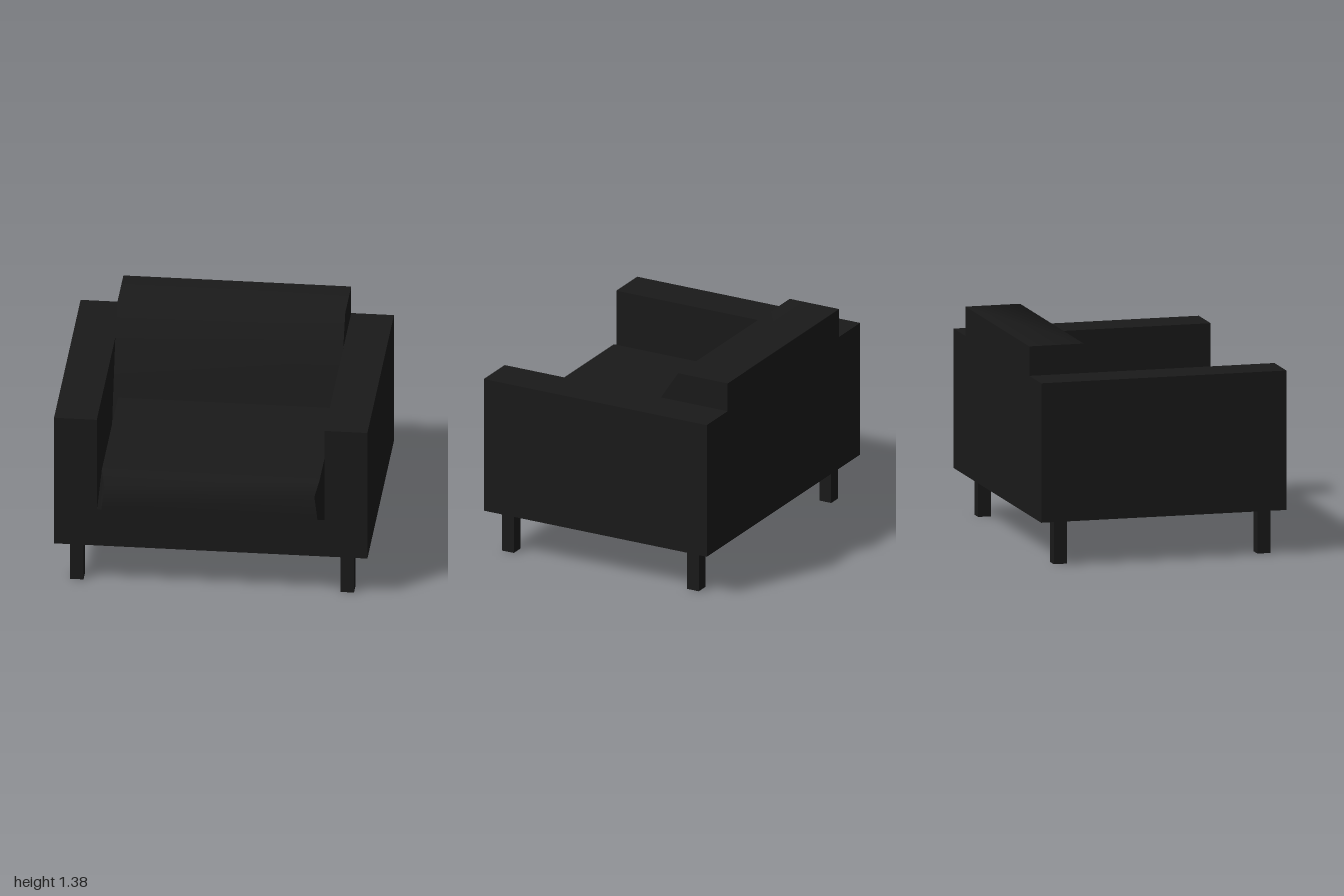
import * as THREE from 'three';
import { toCreasedNormals } from 'three/addons/utils/BufferGeometryUtils.js';

const CREASE = 1.05;

// Closed polygon extruded by depth
function extrude(points, depth) {
  const shape = new THREE.Shape(points.map(([x, y]) => new THREE.Vector2(x, y)));
  return new THREE.ExtrudeGeometry(shape, { depth, bevelEnabled: false });
}

// Four-sided sections joined along z: [z, yBottom, yTop, halfBottom, halfTop]
function loft(sections) {
  const pos = [], index = [];
  for (const [z, yb, yt, wb, wt] of sections) {
    pos.push(-wb, yb, z, wb, yb, z, wt, yt, z, -wt, yt, z);
  }
  const quad = (a, b, c, d) => index.push(a, b, c, a, c, d);
  for (let s = 0; s < sections.length - 1; s++) {
    for (let j = 0; j < 4; j++) {
      const k = (j + 1) % 4, o = s * 4;
      quad(o + j, o + k, o + 4 + k, o + 4 + j);
    }
  }
  const e = (sections.length - 1) * 4;
  quad(3, 2, 1, 0);
  quad(e, e + 1, e + 2, e + 3);
  const g = new THREE.BufferGeometry();
  g.setAttribute('position', new THREE.Float32BufferAttribute(pos, 3));
  g.setIndex(index);
  return toCreasedNormals(g, CREASE);
}

export function createModel() {
  const group = new THREE.Group();
  const material = new THREE.MeshStandardMaterial({ color: 0x1a1a1a });
  const add = (name, geometry) => {
    const mesh = new THREE.Mesh(geometry, material);
    mesh.name = name;
    group.add(mesh);
    return mesh;
  };

  // Base and both arms as one U-shaped block
  const inner = 0.727;
  add('frameWithArms', extrude([
    [-1, 0.29], [1, 0.29], [1, 1.19], [inner, 1.19],
    [inner, 0.55], [-inner, 0.55], [-inner, 1.19], [-1, 1.19],
  ], 1.62)).position.z = -0.85;

  // Backrest: side profile (z, y) spanning between the arms
  const back = extrude([
    [-0.85, 0.55], [-0.12, 0.55], [-0.22, 0.835],
    [-0.345, 1.16], [-0.49, 1.38], [-0.85, 1.38],
  ], inner * 2);
  back.translate(0, 0, -inner).rotateY(-Math.PI / 2);
  add('backrest', toCreasedNormals(back, CREASE));

  // Seat cushion, tapering upwards, with a bevelled front
  add('seatCushion', loft([
    [-0.4, 0.55, 0.835, 0.725, 0.695],
    [0.74, 0.55, 0.835, 0.725, 0.695],
    [0.77, 0.55, 0.835, 0.725, 0.695],
    [0.85, 0.59, 0.755, 0.69, 0.67],
  ]));

  // Four square legs
  for (const x of [-0.863, 0.863]) {
    for (const z of [-0.697, 0.648]) {
      add('leg', new THREE.BoxGeometry(0.086, 0.29, 0.086)).position.set(x, 0.145, z);
    }
  }
  return group;
}
